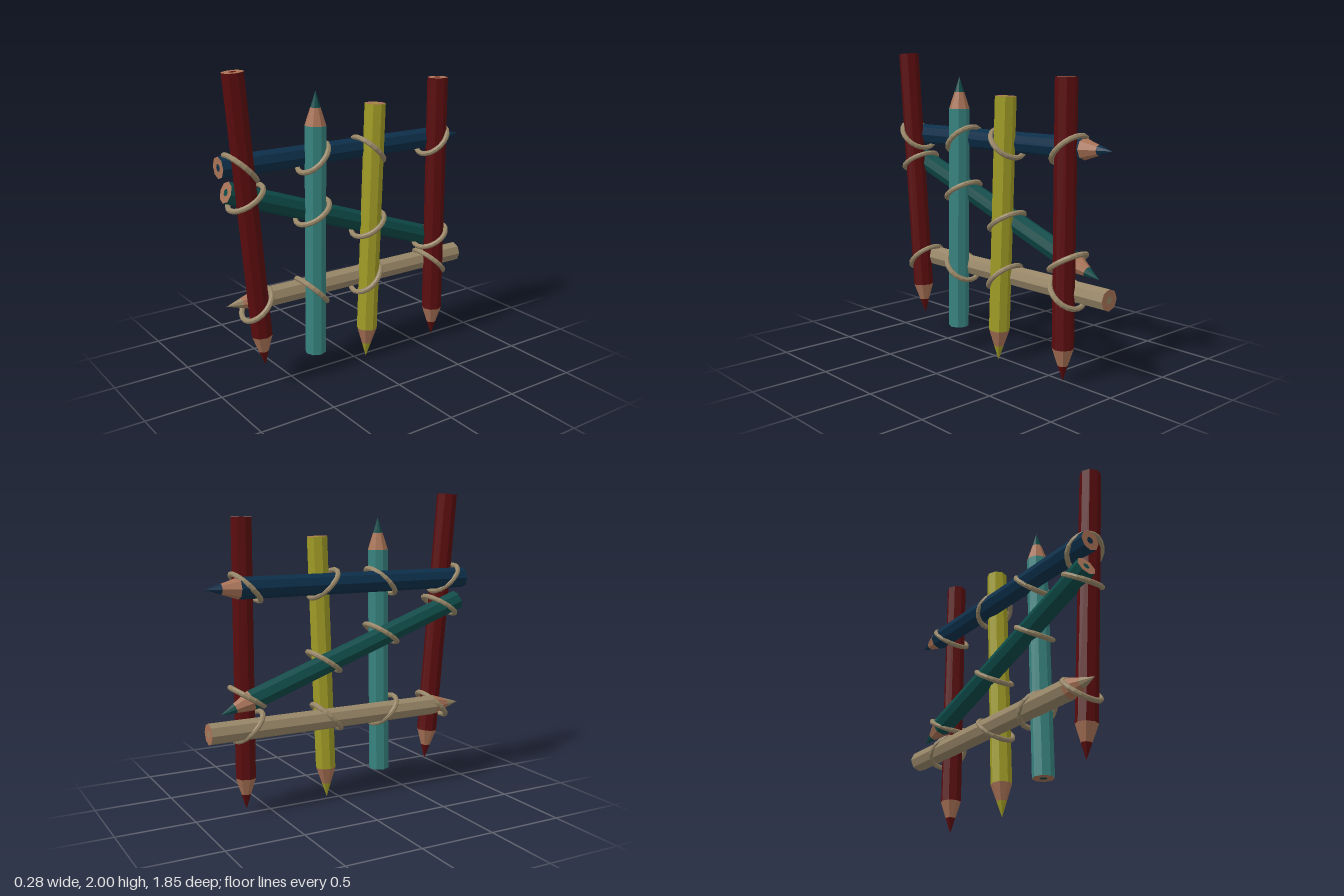
import * as THREE from 'three';

const SIDES = 8, RADIUS = 0.068, TIP = 0.21, LEAD = 0.1;

function material(name, color) {
  const m = new THREE.MeshStandardMaterial({ color, flatShading: true });
  m.name = name;
  return m;
}

export function createModel() {
  const model = new THREE.Group();
  model.name = 'pencilLattice';

  const red = material('dark red', 0x5a0c0e);
  const cyan = material('light teal', 0x37837f);
  const yellow = material('mustard', 0xa09c26);
  const blue = material('navy', 0x0d2f4a);
  const teal = material('deep teal', 0x0d4a48);
  const beige = material('beige', 0x978667);
  const wood = material('bare wood', 0xa87256);

  // Sharpened pencil from its flat end to its tip, both given as [y, z]
  function pencil(name, x, end, tip, paint, lead) {
    const from = new THREE.Vector3(x, ...end);
    const axis = new THREE.Vector3(x, ...tip).sub(from);
    const length = axis.length(), body = length - TIP;
    const g = new THREE.Group();
    g.name = name;
    const add = (part, geometry, mat, y) => {
      const mesh = new THREE.Mesh(geometry, mat);
      mesh.name = part;
      mesh.position.y = y;
      g.add(mesh);
    };
    const leadRadius = RADIUS * LEAD / TIP;
    add('barrel', new THREE.CylinderGeometry(RADIUS, RADIUS, body, SIDES, 1, true), paint, body / 2);
    add('sharpenedWood', new THREE.CylinderGeometry(leadRadius, RADIUS, TIP - LEAD, SIDES, 1, true),
      wood, body + (TIP - LEAD) / 2);
    add('leadPoint', new THREE.ConeGeometry(leadRadius, LEAD, SIDES, 1, true), lead, length - LEAD / 2);
    // Flat end: wooden ring around the lead core
    const turn = Math.PI / 2;
    add('endWood', new THREE.RingGeometry(0.023, RADIUS, SIDES, 1, turn).rotateX(turn), wood, 0);
    add('endLead', new THREE.CircleGeometry(0.023, SIDES, turn).rotateX(turn), lead, 0);
    g.position.copy(from);
    g.quaternion.setFromUnitVectors(new THREE.Vector3(0, 1, 0), axis.normalize());
    model.add(g);
  }

  // Uprights
  pencil('leaningUpright', 0.035, [2.0, 0.857], [0.16, 0.707], red, red);
  pencil('invertedUpright', 0.035, [0.15, 0.332], [1.85, 0.308], cyan, teal);
  pencil('tiltedUpright', 0.035, [1.735, -0.138], [0.005, -0.073], yellow, yellow);
  pencil('straightUpright', 0.035, [1.86, -0.65], [0.02, -0.65], red, red);

  // Crossing rails
  pencil('upperRail', -0.06, [1.44, 0.925], [1.44, -0.925], blue, blue);
  pencil('diagonalRail', -0.06, [1.285, 0.883], [0.675, -0.845], teal, teal);
  pencil('lowerRail', -0.06, [0.567, -0.925], [0.567, 0.91], beige, beige);

  // Binding rings at every crossing: y, z, tilt in degrees
  const ring = new THREE.TorusGeometry(0.121, 0.017, 8, 20);
  const bindings = [
    [1.435, 0.811, 45], [1.436, 0.31, -45], [1.436, -0.114, 45], [1.436, -0.644, -45],
    [1.251, 0.784, -58], [1.089, 0.318, -57], [0.935, -0.111, -56], [0.758, -0.647, -58],
    [0.562, 0.734, -45], [0.567, 0.331, 45], [0.567, -0.093, -45], [0.57, -0.644, 46],
  ];
  for (const [y, z, tilt] of bindings) {
    const mesh = new THREE.Mesh(ring, beige);
    mesh.name = 'bindingRing';
    mesh.position.set(-0.002, y, z);
    mesh.rotation.x = THREE.MathUtils.degToRad(tilt);
    model.add(mesh);
  }
  return model;
}
